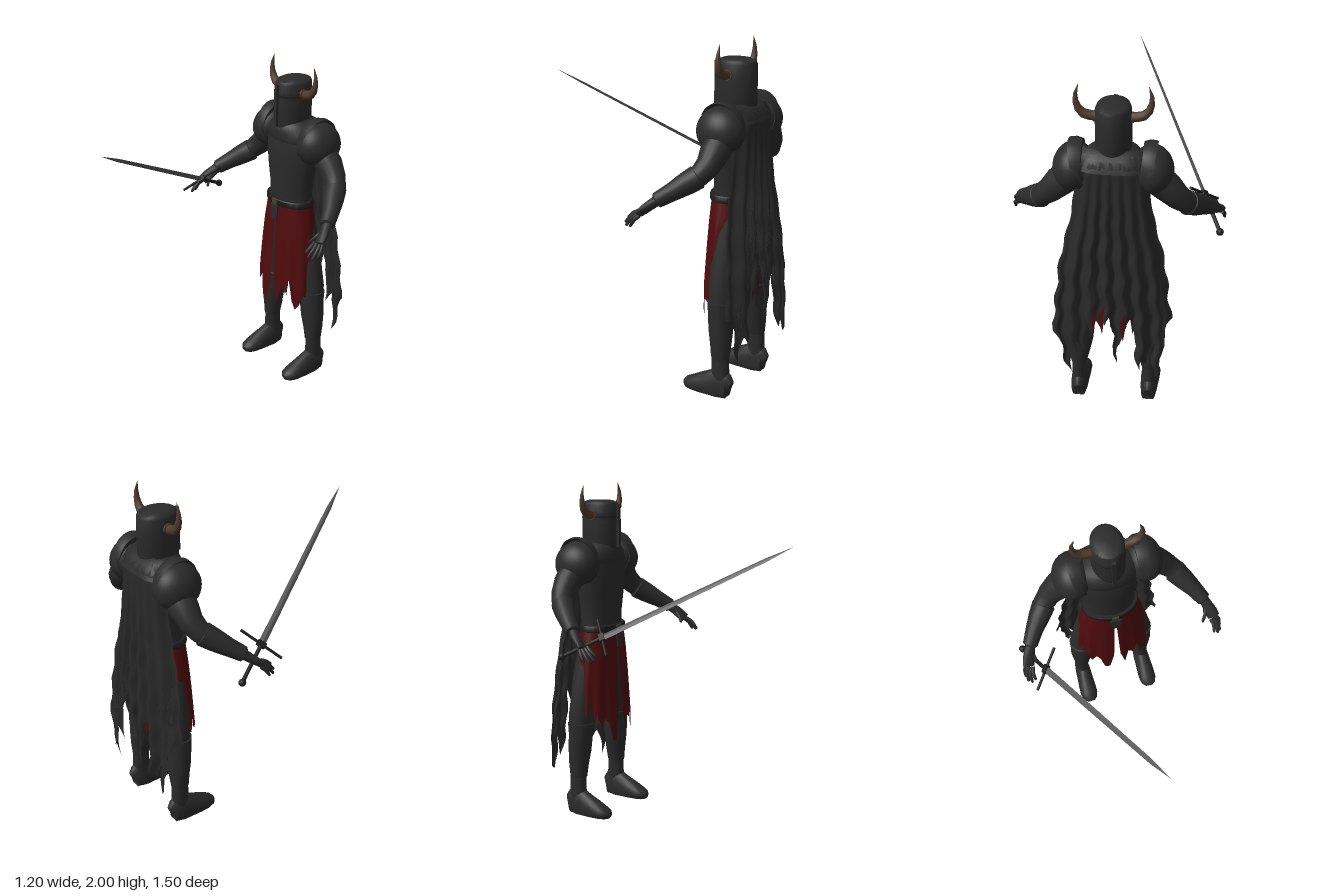
import * as THREE from 'three';
import { toCreasedNormals } from 'three/addons/utils/BufferGeometryUtils.js';

const mat = (name, color, side = THREE.FrontSide) => {
  const m = new THREE.MeshStandardMaterial({ color, side });
  m.name = name;
  return m;
};
const V = (x, y, z) => new THREE.Vector3(x, y, z);

function buildGeometry(pos, idx, crease = 0.75) {
  const g = new THREE.BufferGeometry();
  g.setAttribute('position', new THREE.Float32BufferAttribute(pos, 3));
  g.setIndex(idx);
  return toCreasedNormals(g, crease);
}

// Closed body through elliptical sections [x, y, z, ra, rb]; ref sets the roll.
function loft(sections, seg = 24, ref = V(0, 0, 1), crease = 0.75) {
  const pos = [], idx = [], n = sections.length;
  const centre = sections.map(s => V(s[0], s[1], s[2]));
  sections.forEach((s, i) => {
    const t = centre[Math.min(i + 1, n - 1)].clone().sub(centre[Math.max(i - 1, 0)]).normalize();
    const side = t.clone().cross(ref).normalize(), up = t.clone().cross(side);
    for (let j = 0; j < seg; j++) {
      const a = j / seg * Math.PI * 2;
      const p = centre[i].clone().addScaledVector(side, Math.cos(a) * s[3]).addScaledVector(up, Math.sin(a) * (s[4] ?? s[3]));
      pos.push(p.x, Math.max(0, p.y), p.z);
    }
  });
  pos.push(...centre[0].toArray(), ...centre[n - 1].toArray());
  for (let j = 0; j < seg; j++) {
    const k = (j + 1) % seg;
    for (let i = 0; i < n - 1; i++) {
      const a = i * seg + j, b = i * seg + k;
      idx.push(a, b, b + seg, a, b + seg, a + seg);
    }
    const e = (n - 1) * seg;
    idx.push(n * seg, k, j, n * seg + 1, e + j, e + k);
  }
  return buildGeometry(pos, idx, crease);
}

// Open sheet from a rule point(u, v).
function sheet(point, nu, nv) {
  const pos = [], idx = [];
  for (let i = 0; i <= nu; i++) for (let j = 0; j <= nv; j++) pos.push(...point(i / nu, j / nv));
  for (let i = 0; i < nu; i++) for (let j = 0; j < nv; j++) {
    const a = i * (nv + 1) + j, b = a + nv + 1;
    idx.push(a, a + 1, b + 1, a, b + 1, b);
  }
  return buildGeometry(pos, idx, 1.2);
}

// Linear lookup in an evenly spaced list, and in [key, value] pairs with falling keys.
const sample = (list, u) => {
  const f = u * (list.length - 1), i = Math.min(Math.floor(f), list.length - 2);
  return THREE.MathUtils.lerp(list[i], list[i + 1], f - i);
};
const lookup = (pairs, y) => {
  let i = 0;
  while (i < pairs.length - 2 && y < pairs[i + 1][0]) i++;
  const [a, b] = [pairs[i], pairs[i + 1]];
  return THREE.MathUtils.lerp(a[1], b[1], THREE.MathUtils.clamp((a[0] - y) / (a[0] - b[0]), 0, 1));
};

export function createModel() {
  const root = new THREE.Group();
  root.name = 'hornedKnight';
  const armour = mat('dark armour', 0x2b2b2b), cloak = mat('cape cloth', 0x292929, THREE.DoubleSide);
  const red = mat('red cloth', 0x500b0d, THREE.DoubleSide), horn = mat('horn', 0x4d3a2e);
  const steel = mat('blade steel', 0x5a5a5a), leather = mat('black leather', 0x1f1f1f), metal = mat('buckle metal', 0x45403a);
  const add = (name, geo, material, parent = root) => {
    const m = new THREE.Mesh(geo, material);
    m.name = name;
    parent.add(m);
    return m;
  };
  const rings = (z, rows) => rows.map(([y, a, b]) => [0, y, z, a, b]);

  // Torso, collar plate and belt
  add('torso', loft(rings(-0.525, [[1.08, 0.15, 0.1], [1.16, 0.15, 0.105], [1.24, 0.15, 0.108], [1.34, 0.167, 0.116],
    [1.45, 0.18, 0.122], [1.55, 0.185, 0.12], [1.6, 0.16, 0.11]]), 32), armour);
  add('collarPlate', loft(rings(-0.53, [[1.535, 0.182, 0.122], [1.545, 0.19, 0.128], [1.6, 0.175, 0.126], [1.64, 0.135, 0.115],
    [1.665, 0.085, 0.09]]), 32), armour);
  add('belt', loft(rings(-0.518, [[1.128, 0.167, 0.114], [1.133, 0.17, 0.118], [1.162, 0.168, 0.118], [1.167, 0.163, 0.113]]), 32), leather);
  add('buckle', new THREE.BoxGeometry(0.04, 0.036, 0.012), metal).position.set(0, 1.147, -0.4);
  const tab = new THREE.Shape([[-0.035, 0.05], [0.035, 0.05], [0.025, -0.05], [-0.022, -0.05]].map(p => new THREE.Vector2(...p)));
  add('beltTab', new THREE.ExtrudeGeometry(tab, { depth: 0.008, bevelEnabled: false }), armour).position.set(0, 1.08, -0.399);

  // Helmet with cross-shaped face plate
  add('helmet', loft(rings(-0.52, [[1.62, 0.09, 0.112], [1.64, 0.095, 0.117], [1.8, 0.095, 0.117], [1.875, 0.092, 0.114],
    [1.892, 0.085, 0.106], [1.902, 0.065, 0.08]]), 36), armour);
  add('facePlate', new THREE.BoxGeometry(0.022, 0.25, 0.016), armour).position.set(0, 1.755, -0.392);
  for (const [name, y, h, r, m] of [['browBand', 1.823, 0.014, 0.099, armour], ['eyeSlit', 1.81, 0.014, 0.0965, leather],
    ['cheekBand', 1.797, 0.014, 0.099, armour]]) {
    const band = add(name, new THREE.CylinderGeometry(r, r, h, 24, 1, true, -1.35, 2.7), m);
    band.scale.z = 1.23;
    band.position.set(0, y, -0.52);
    if (m === armour) band.material = cloak;
  }

  for (const s of [1, -1]) {
    const side = new THREE.Group();
    side.name = s > 0 ? 'leftSide' : 'rightSide';
    root.add(side);
    const part = (name, rows, m = armour, seg = 18, ref) =>
      add(name, loft(rows.map(([x, ...r]) => [s * x, ...r]), seg, ref), m, side);

    part('horn', [[0.08, 1.822, -0.515, 0.022], [0.12, 1.825, -0.515, 0.026], [0.155, 1.835, -0.515, 0.025], [0.18, 1.862, -0.515, 0.021],
      [0.193, 1.9, -0.515, 0.016], [0.193, 1.945, -0.515, 0.01], [0.178, 1.997, -0.515, 0.001]], horn, 12);
    part('hornSocket', [[0.085, 1.822, -0.515, 0.03], [0.103, 1.823, -0.515, 0.03]], horn, 14);

    // Shoulder plates
    const ball = add('shoulderPlate', new THREE.SphereGeometry(1, 28, 20), armour, side);
    ball.scale.set(0.108, 0.128, 0.138);
    ball.position.set(s * 0.208, 1.545, -0.548);
    ball.rotation.z = s * 0.2;
    part('shoulderRim', [[0.158, 1.565, -0.548, 0.125, 0.12], [0.163, 1.565, -0.548, 0.14, 0.128], [0.197, 1.555, -0.548, 0.144, 0.132],
      [0.203, 1.555, -0.548, 0.125, 0.12]], armour, 36);

    // Arm, forearm guard and hand
    part('upperArm', [[0.22, 1.5, -0.56, 0.085], [0.29, 1.44, -0.56, 0.08], [0.34, 1.385, -0.555, 0.068], [0.385, 1.34, -0.53, 0.06],
      [0.42, 1.31, -0.49, 0.055]]);
    part('forearmGuard', [[0.385, 1.335, -0.525, 0.055], [0.39, 1.33, -0.52, 0.067], [0.43, 1.295, -0.475, 0.062], [0.48, 1.25, -0.415, 0.05],
      [0.522, 1.208, -0.355, 0.043], [0.526, 1.204, -0.35, 0.032]]);
    part('palm', [[0.515, 1.215, -0.365, 0.03, 0.03], [0.535, 1.185, -0.33, 0.032, 0.026], [0.55, 1.155, -0.295, 0.038, 0.022],
      [0.562, 1.128, -0.265, 0.036, 0.017]], armour, 14);
    [[0.54, 1.135, -0.248, 0.543, 1.09, -0.185], [0.556, 1.13, -0.25, 0.565, 1.07, -0.183], [0.568, 1.125, -0.262, 0.584, 1.06, -0.2],
      [0.575, 1.122, -0.276, 0.593, 1.062, -0.232], [0.52, 1.165, -0.305, 0.492, 1.115, -0.255]].forEach(([a, b, c, d, e, f], i) => {
      part(i < 4 ? 'finger' : 'thumb', [[a, b, c, 0.012], [(a + d) / 2 + 0.007, (b + e) / 2 + 0.006, (c + f) / 2, 0.011],
        [d, e, f, 0.008], [d, e - 0.004, f + 0.004, 0.003]], armour, 8);
    });

    // Leg, greave and boot
    part('leg', [[0.08, 1.1, -0.53, 0.08, 0.085], [0.135, 0.82, -0.55, 0.088, 0.08], [0.18, 0.6, -0.56, 0.083, 0.075],
      [0.19, 0.5, -0.56, 0.068, 0.066], [0.198, 0.4, -0.567, 0.06, 0.06], [0.205, 0.22, -0.572, 0.04, 0.052], [0.205, 0.08, -0.575, 0.043, 0.056]]);
    part('greave', [[0.184, 0.575, -0.56, 0.075, 0.07], [0.184, 0.57, -0.56, 0.085, 0.077], [0.188, 0.5, -0.56, 0.078, 0.072],
      [0.194, 0.4, -0.565, 0.074, 0.068], [0.2, 0.31, -0.57, 0.06, 0.06], [0.204, 0.235, -0.57, 0.046, 0.054], [0.204, 0.23, -0.57, 0.036, 0.045]]);
    part('boot', [[0.205, 0.055, -0.637, 0.025, 0.055], [0.205, 0.06, -0.625, 0.042, 0.085], [0.205, 0.06, -0.56, 0.05, 0.105],
      [0.206, 0.05, -0.51, 0.052, 0.085], [0.207, 0.04, -0.45, 0.056, 0.066], [0.207, 0.03, -0.395, 0.056, 0.046],
      [0.206, 0.025, -0.36, 0.045, 0.034], [0.205, 0.02, -0.342, 0.024, 0.02]], armour, 20, V(0, 1, 0));
  }

  // Torn red skirt, wrapped from the front slit around the back
  const skirtHem = [0.62, 0.47, 0.6, 0.56, 0.66, 0.52, 0.46, 0.5, 0.57, 0.55, 0.68, 0.6, 0.78, 0.62, 0.66, 0.6, 0.65, 0.58, 0.6, 0.49, 0.62,
    0.5, 0.7, 0.52, 0.58, 0.46, 0.68, 0.5, 0.6, 0.48, 0.64, 0.59, 0.66, 0.6, 0.77, 0.61, 0.64, 0.63, 0.73, 0.58, 0.64, 0.55, 0.6, 0.57, 0.46, 0.45, 0.6];
  add('skirt', sheet((u, v) => {
    const y = THREE.MathUtils.lerp(1.14, sample(skirtHem, u), v);
    const gap = 0.02 + 0.07 * v, a = THREE.MathUtils.lerp(gap, Math.PI * 2 - gap, u);
    const rx = lookup([[1.14, 0.163], [1, 0.192], [0.85, 0.21], [0.6, 0.228], [0.45, 0.225]], y);
    const rz = lookup([[1.14, 0.11], [0.9, 0.12], [0.6, 0.131], [0.45, 0.135]], y);
    const fold = 1 + 0.03 * v * Math.sin(a * 13);
    return [Math.sin(a) * rx * fold, y, -0.522 + Math.cos(a) * rz * fold];
  }, (skirtHem.length - 1) * 4, 14), red);

  // Long ragged cape with folds
  const capeHem = [0.64, 0.62, 0.3, 0.27, 0.5, 0.36, 0.4, 0.33, 0.45, 0.72, 0.62, 0.74, 0.5, 0.35, 0.7, 0.64, 0.76, 0.6, 0.73, 0.55, 0.68,
    0.42, 0.5, 0.36, 0.4, 0.24, 0.33, 0.52, 0.53];
  add('cape', sheet((u, v) => {
    const y = THREE.MathUtils.lerp(1.655, sample(capeHem, u), v), c = 1 - u * 2;
    const w = lookup([[1.66, 0.15], [1.5, 0.19], [1.3, 0.215], [1, 0.285], [0.6, 0.33], [0.25, 0.3]], y);
    const back = lookup([[1.66, -0.625], [1.61, -0.675], [1.2, -0.69], [0.8, -0.72], [0.4, -0.735], [0.24, -0.73]], y);
    const wrap = lookup([[1.66, 0.02], [1.5, 0.07], [1.1, 0.08], [0.6, 0.07], [0.25, 0.04]], y);
    const fold = Math.min(1, v * 1.6) * 0.019 * Math.sin(c * 21 + 0.6 * Math.sin(v * 4));
    const flutter = 0.012 * v * Math.sin(y * 31 + c * 3);
    return [-c * w + flutter, y, back + wrap * c ** 4 + fold];
  }, (capeHem.length - 1) * 5, 24), cloak);
  add('capeYoke', sheet((u, v) => {
    const c = 1 - u * 2;
    return [-c * (0.155 + 0.03 * v), 1.668 - 0.09 * v, -0.6 - 0.085 * Math.sqrt(v) + 0.05 * c ** 4];
  }, 20, 6), cloak);

  // Sword held in the right hand, built along its own y axis from the pommel
  const sword = new THREE.Group();
  sword.name = 'sword';
  root.add(sword);
  const along = V(0.54, 0.63, 1.155).normalize(), flat = V(0.15, 0.16, -0.165);
  flat.addScaledVector(along, -flat.dot(along)).normalize();
  sword.quaternion.setFromRotationMatrix(new THREE.Matrix4().makeBasis(flat, along, flat.clone().cross(along)));
  sword.position.set(-0.57, 1.07, -0.4);
  add('blade', loft([[0, 0.25, 0, 0.021, 0.007], [0, 0.8, 0, 0.018, 0.006], [0, 1.26, 0, 0.014, 0.005], [0, 1.42, 0, 0.0005, 0.0005]],
    4, V(0, 0, 1), 0.2), steel, sword);
  add('grip', new THREE.CylinderGeometry(0.011, 0.011, 0.25, 12), leather, sword).position.y = 0.13;
  add('pommel', new THREE.SphereGeometry(0.021, 14, 10), leather, sword);
  const guard = add('crossGuard', new THREE.CylinderGeometry(0.008, 0.008, 0.275, 10), leather, sword);
  guard.rotation.z = Math.PI / 2;
  guard.position.y = 0.255;
  add('guardBlock', new THREE.BoxGeometry(0.05, 0.03, 0.025), leather, sword).position.y = 0.255;
  return root;
}
